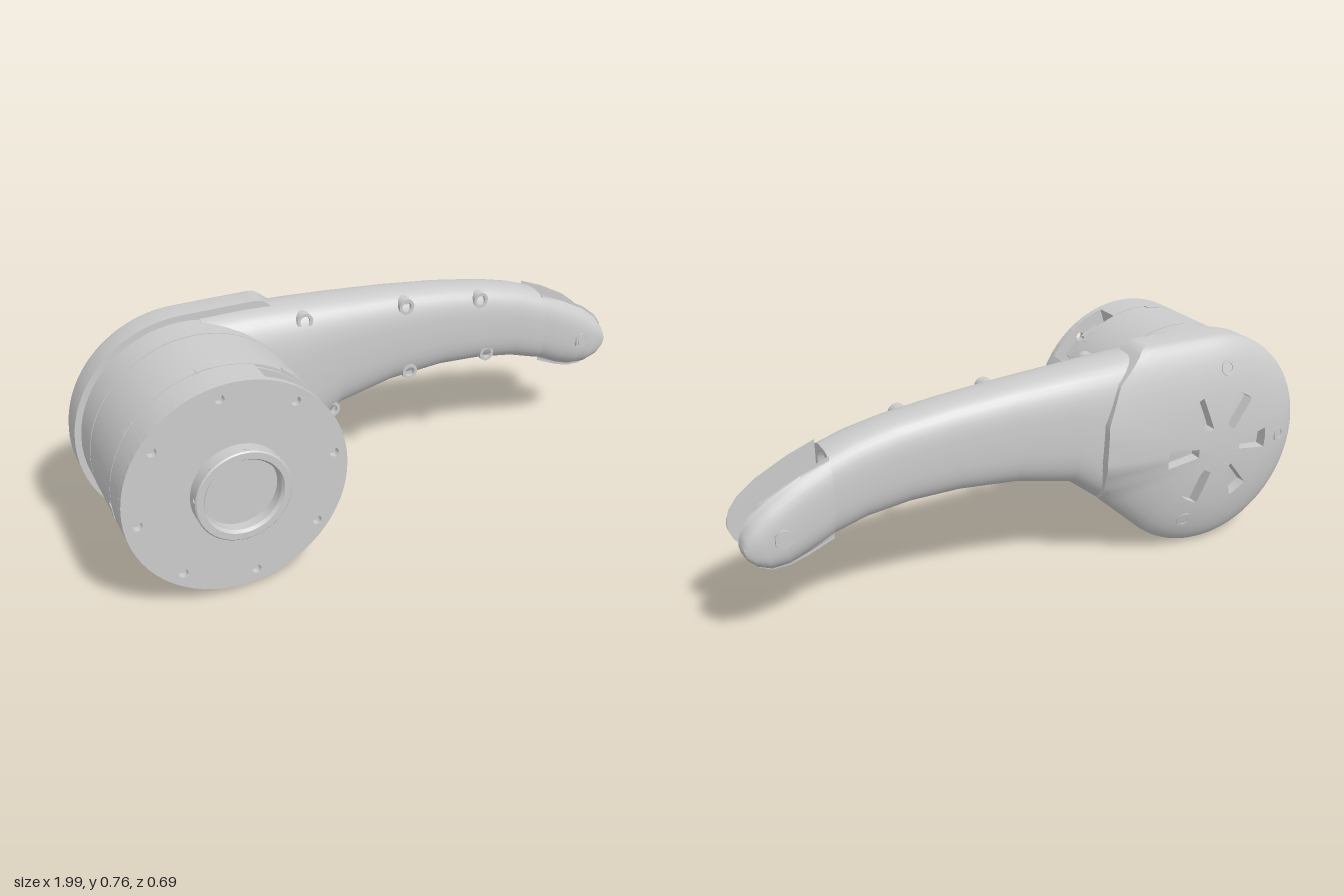
import * as THREE from 'three';
import { toCreasedNormals } from 'three/addons/utils/BufferGeometryUtils.js';

const CX = -0.62, CY = 0.38, R = 0.357, RCAP = 0.378;
const mat = new THREE.MeshStandardMaterial({ color: 0xcccccc });
const rad = THREE.MathUtils.degToRad;
const lerp = THREE.MathUtils.lerp;

function add(parent, name, geo, x = 0, y = 0, z = 0) {
  const m = new THREE.Mesh(geo, mat);
  m.name = name;
  m.position.set(x, y, z);
  parent.add(m);
  return m;
}

// Collects quads into a geometry with sharp edges kept
function quadBuilder() {
  const pos = [];
  return {
    quad(a, b, c, d) { for (const p of [a, b, c, a, c, d]) pos.push(...p); },
    build(angle = 0.6) {
      const g = new THREE.BufferGeometry();
      g.setAttribute('position', new THREE.Float32BufferAttribute(pos, 3));
      return toCreasedNormals(g, angle);
    },
  };
}

// Cylinder along z between two depths
function disc(r, z0, z1, seg = 64) {
  return new THREE.CylinderGeometry(r, r, z1 - z0, seg).rotateX(Math.PI / 2).translate(0, 0, (z0 + z1) / 2);
}

// Lathe about z, facing +z (dir 1) or -z (dir -1)
function turned(points, dir = 1, seg = 24) {
  const g = new THREE.LatheGeometry(points.map(p => new THREE.Vector2(...p)), seg);
  return toCreasedNormals(g.rotateX(dir * Math.PI / 2), 0.5);
}

const screw = (r, dir) => turned([[r, -0.06], [r, 0], [r * 0.62, 0], [r * 0.62, -0.016], [0, -0.016]], dir);

// Loft through rounded-box sections: [xTop, yTop, xBottom, yBottom, zFront, zBack]
function loft(stations, clampZ = z => z) {
  const N = 40, q = quadBuilder();
  const soft = v => Math.sign(v) * Math.abs(v) ** (2 / 3);
  const rings = stations.map(([xt, yt, xb, yb, zf, zb]) => Array.from({ length: N }, (_, j) => {
    const f = j / N * Math.PI * 2, t = (1 + soft(Math.cos(f))) / 2, s = (1 + soft(Math.sin(f))) / 2;
    return [lerp(xb, xt, t), lerp(yb, yt, t), clampZ(lerp(zb, zf, s))];
  }));
  const centre = ring => [0, 1, 2].map(k => ring.reduce((a, p) => a + p[k], 0) / N);
  const first = rings[0], last = rings[rings.length - 1], c0 = centre(first), c1 = centre(last);
  for (let j = 0; j < N; j++) {
    const k = (j + 1) % N;
    for (let i = 0; i < rings.length - 1; i++) q.quad(rings[i][j], rings[i][k], rings[i + 1][k], rings[i + 1][j]);
    q.quad(c0, first[k], first[j], c0);
    q.quad(c1, last[j], last[k], c1);
  }
  return q.build(0.7);
}

// Distance from the drum axis to an outline made of the round end plus arm-side points
function outlineRadius(points) {
  const poly = [];
  for (let a = 90; a <= 315; a += 5) poly.push([RCAP * Math.cos(rad(a)), RCAP * Math.sin(rad(a))]);
  for (const [x, y] of points) poly.push([x - CX, y - CY]);
  return th => {
    const dx = Math.cos(th), dy = Math.sin(th);
    let best = 0;
    poly.forEach(([ax, ay], i) => {
      const [bx, by] = poly[(i + 1) % poly.length], ex = bx - ax, ey = by - ay;
      const den = dx * ey - dy * ex;
      if (Math.abs(den) < 1e-9) return;
      const t = (ax * ey - ay * ex) / den, u = (ax * dy - ay * dx) / den;
      if (t > 0 && u > -1e-6 && u < 1 + 1e-6) best = Math.max(best, t);
    });
    return best;
  };
}
const fullR = outlineRadius([[-0.2, 0.25], [0, 0.335], [0.45, 0.4], [0.45, 0.69], [-0.2, 0.745], [-0.35, 0.758]]);
const capR = outlineRadius([[-0.2, 0.25], [-0.18, 0.4], [-0.185, 0.54], [-0.235, 0.66], [-0.35, 0.758]]);
const capZ = (r, th) => -0.24 - 0.103 * Math.sqrt(Math.max(0, 1 - Math.min(1, r / fullR(th)) ** 2));

// Domed rear cover on a polar grid, with six tapered vents sunk into it
function coverGeometry() {
  const N = 108, inner = [0, 0.04, 0.085, 0.125, 0.165, 0.205, 0.23];
  const outer = [0.25, 0.5, 0.7, 0.85, 0.94, 0.98, 1];
  const rows = inner.length + outer.length + 2, q = quadBuilder(), P = [];
  for (let i = 0; i < rows; i++) {
    P.push([]);
    for (let j = 0; j < N; j++) {
      const th = (j / N) * Math.PI * 2, edge = capR(th);
      const o = i - inner.length;
      let r = o < 0 ? inner[i] : lerp(0.23, edge, outer[Math.min(o, outer.length - 1)]);
      if (i === rows - 1) r = edge * 0.9;
      const z = i >= rows - 2 ? -0.16 : capZ(r, th);
      P[i].push([CX + r * Math.cos(th), CY + r * Math.sin(th), z]);
    }
  }
  const isVent = (i, j) => i >= 2 && i <= 4 && (j + 3 + N) % 18 < 6;
  const sink = p => [p[0], p[1], p[2] + 0.04];
  for (let i = 0; i < rows - 1; i++) for (let j = 0; j < N; j++) {
    const k = (j + 1) % N, c = [P[i][j], P[i][k], P[i + 1][k], P[i + 1][j]];
    if (!isVent(i, j)) { q.quad(...c); continue; }
    q.quad(...c.map(sink));
    const next = [[i - 1, j], [i, j + 1], [i + 1, j], [i, j - 1]];
    next.forEach((n, e) => {
      const a = c[e], b = c[(e + 1) % 4];
      if (!isVent(...n)) q.quad(a, b, sink(b), sink(a));
    });
  }
  return q.build(0.6);
}

function buildDrum() {
  const g = new THREE.Group();
  g.name = 'drum';
  g.position.set(CX, CY, 0);
  add(g, 'drumCore', disc(0.349, -0.2, 0.19));
  add(g, 'drumBody', disc(R, -0.045, 0.18));
  add(g, 'drumRearBand', disc(R, -0.165, -0.05));

  // Base rim with a connector pocket
  const rim = new THREE.Shape();
  rim.absarc(0, 0, R, rad(72), rad(392), false);
  rim.absarc(0, 0, 0.29, rad(32), rad(72), false);
  rim.closePath();
  add(g, 'baseRim', new THREE.ExtrudeGeometry(rim, { depth: 0.087, bevelEnabled: false, curveSegments: 64 }), 0, 0, 0.184);
  for (const a of [42, 58]) {
    const c = add(g, 'connector', new THREE.BoxGeometry(0.04, 0.065, 0.05), 0.305 * Math.cos(rad(a)), 0.305 * Math.sin(rad(a)), 0.228);
    c.rotation.z = rad(a);
  }

  // Front plate with eight bolt holes
  const plate = new THREE.Shape();
  plate.absarc(0, 0, R, 0, Math.PI * 2, false);
  for (let i = 0; i < 8; i++) {
    const a = rad(7 + i * 45), h = new THREE.Path();
    h.absarc(0.315 * Math.cos(a), 0.315 * Math.sin(a), 0.015, 0, Math.PI * 2, true);
    plate.holes.push(h);
    // Locating tabs in the seam behind the plate
    const t = add(g, 'seamTab', new THREE.BoxGeometry(0.012, 0.045, 0.022), 0.353 * Math.cos(a), 0.353 * Math.sin(a), 0.171);
    t.rotation.z = a;
  }
  add(g, 'frontPlate', new THREE.ExtrudeGeometry(plate, { depth: 0.022, bevelEnabled: false, curveSegments: 32 }), 0, 0, 0.271);

  // Output hub with set screws round its side
  add(g, 'hub', turned([[0.152, -0.05], [0.152, -0.004], [0.148, 0], [0.127, 0], [0.12, -0.01], [0.12, -0.045], [0, -0.045]], 1, 48), 0, 0, 0.343);
  for (let i = 0; i < 8; i++) {
    const a = rad(i * 45 - 7);
    const s = add(g, 'hubSetScrew', new THREE.CylinderGeometry(0.008, 0.008, 0.01, 8), 0.149 * Math.cos(a), 0.149 * Math.sin(a), 0.326);
    s.rotation.z = a - Math.PI / 2;
  }
  return g;
}

function buildArm() {
  const g = new THREE.Group();
  g.name = 'arm';
  const root = [0.71, 0.592, 0.71, 0.322, -0.066, -0.264];
  add(g, 'armShell', loft([
    [-0.56, 0.735, -0.5, 0.06, -0.055, -0.29],
    [-0.4, 0.735, -0.36, 0.14, -0.055, -0.305],
    [-0.25, 0.727, -0.22, 0.232, -0.06, -0.308],
    [-0.08, 0.715, -0.1, 0.325, -0.07, -0.3],
    [0.12, 0.7, 0.1, 0.368, -0.078, -0.288],
    [0.32, 0.679, 0.3, 0.383, -0.08, -0.277],
    [0.5, 0.652, 0.46, 0.376, -0.077, -0.266],
    [0.62, 0.624, 0.6, 0.355, -0.072, -0.262],
    root,
    // Hollow opening between the fork cheeks
    [0.71, 0.575, 0.71, 0.42, -0.12, -0.215],
    [0.45, 0.575, 0.45, 0.46, -0.12, -0.215],
  ]));
  add(g, 'innerRib', new THREE.BoxGeometry(0.2, 0.13, 0.012), 0.59, 0.5, -0.15);

  // Fork cheeks either side of the slot
  const tip = [
    root,
    [0.8, 0.556, 0.79, 0.287, -0.06, -0.273],
    [0.9, 0.503, 0.85, 0.268, -0.056, -0.283],
    [0.957, 0.458, 0.905, 0.266, -0.055, -0.284],
    [0.985, 0.42, 0.95, 0.287, -0.058, -0.28],
    [0.994, 0.39, 0.977, 0.317, -0.066, -0.272],
    [0.995, 0.37, 0.99, 0.345, -0.082, -0.258],
  ];
  add(g, 'frontCheek', loft(tip, z => Math.max(z, -0.1)));
  add(g, 'rearCheek', loft(tip, z => Math.min(z, -0.235)));

  // Cross pin, its collars and end nuts
  add(g, 'pin', disc(0.019, -0.295, -0.048, 20), 0.875, 0.385);
  for (const [z0, z1] of [[-0.115, -0.098], [-0.237, -0.222]]) add(g, 'pinCollar', disc(0.04, z0, z1, 24), 0.875, 0.385);
  for (const [z0, z1] of [[-0.07, -0.05], [-0.293, -0.27]]) add(g, 'pinNut', disc(0.03, z0, z1, 6), 0.875, 0.385);

  // Screws along the front face
  for (const [x, y] of [[-0.23, 0.685], [0.145, 0.66], [0.44, 0.625], [0.16, 0.41], [0.475, 0.41], [-0.14, 0.335]])
    add(g, 'armScrew', screw(0.028, 1), x, y, -0.084);
  return g;
}

function buildCover() {
  const g = new THREE.Group();
  g.name = 'rearCover';
  add(g, 'coverShell', coverGeometry());
  for (const a of [97, 182, 292]) {
    const th = rad(a), r = 0.28;
    const s = add(g, 'coverScrew', screw(0.027, -1), CX + r * Math.cos(th), CY + r * Math.sin(th), capZ(r, th) - 0.002);
    // Tilt the head to follow the dome
    s.rotation.set(Math.sin(th) * 0.3, -Math.cos(th) * 0.3, 0);
  }
  return g;
}

export function createModel() {
  const model = new THREE.Group();
  model.name = 'armAssembly';
  model.add(buildDrum(), buildArm(), buildCover());
  return model;
}
